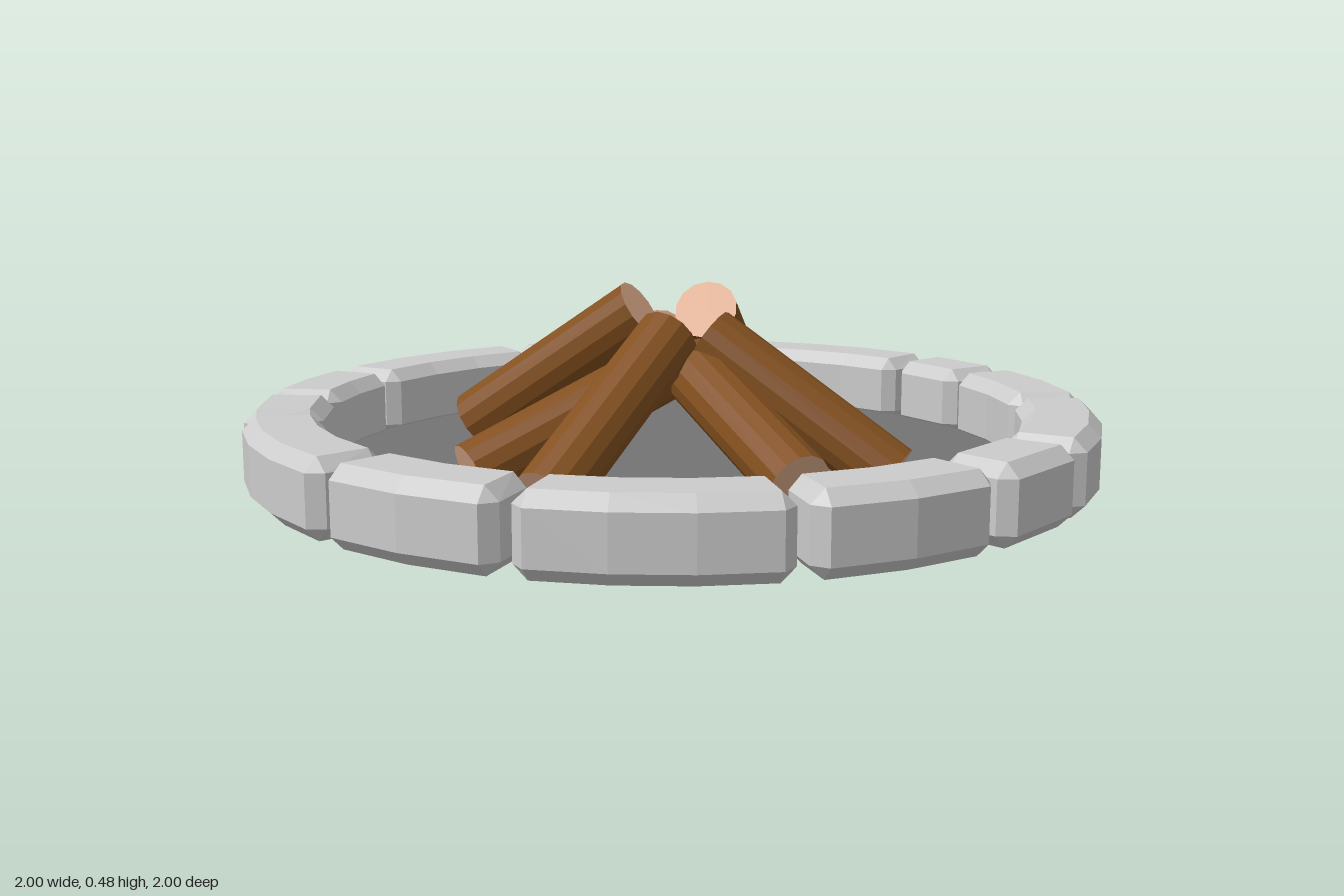
import * as THREE from 'three';

const stoneMat = new THREE.MeshStandardMaterial({ color: 0xcccccc, flatShading: true });
const groundMat = new THREE.MeshStandardMaterial({ color: 0x747474, side: THREE.DoubleSide });
const barkMat = new THREE.MeshStandardMaterial({ color: 0x83501f, flatShading: true });
const cutMat = new THREE.MeshStandardMaterial({ color: 0xe0ad8c });

const INNER = 0.82, OUTER = 1, BOTTOM = 0.045, TOP = 0.22, BEVEL = 0.03;

// Chamfered section as [radius, height]; the end section shrinks to a rectangle
const r0 = INNER + BEVEL, r1 = OUTER - BEVEL, y0 = BOTTOM + BEVEL, y1 = TOP - BEVEL;
const section = [
  [OUTER, y0], [OUTER, y1], [r1, TOP], [r0, TOP],
  [INNER, y1], [INNER, y0], [r0, BOTTOM], [r1, BOTTOM],
];
const endSection = [
  [r1, y0], [r1, y1], [r1, y1], [r0, y1],
  [r0, y1], [r0, y0], [r0, y0], [r1, y0],
];

// Curved stone block between two angles (degrees, from +x towards +z)
function stoneGeometry(from, to) {
  const gap = 0.7, chamfer = 1.8;
  const a = from + gap + chamfer, b = to - gap - chamfer;
  const steps = Math.max(1, Math.round((b - a) / 9));
  const rings = [[from + gap, endSection]];
  for (let i = 0; i <= steps; i++) rings.push([a + (b - a) * i / steps, section]);
  rings.push([to - gap, endSection]);

  const positions = [], index = [];
  for (const [deg, loop] of rings) {
    const t = THREE.MathUtils.degToRad(deg);
    for (const [r, y] of loop) positions.push(r * Math.cos(t), y, r * Math.sin(t));
  }
  const n = section.length;
  for (let i = 0; i < rings.length - 1; i++) {
    for (let j = 0; j < n; j++) {
      const p = i * n + j, q = i * n + (j + 1) % n;
      index.push(p, q, q + n, p, q + n, p + n);
    }
  }
  // Flat end faces
  const last = (rings.length - 1) * n;
  index.push(0, 3, 1, 0, 5, 3, last, last + 1, last + 3, last, last + 3, last + 5);

  const geometry = new THREE.BufferGeometry();
  geometry.setAttribute('position', new THREE.Float32BufferAttribute(positions, 3));
  geometry.setIndex(index);
  const flat = geometry.toNonIndexed();
  flat.computeVertexNormals();
  return flat;
}

// Round log from its foot to its upper end
function makeLog(foot, top) {
  const a = new THREE.Vector3(...foot), b = new THREE.Vector3(...top);
  const axis = b.clone().sub(a);
  const log = new THREE.Mesh(
    new THREE.CylinderGeometry(0.075, 0.075, axis.length(), 14),
    [barkMat, cutMat, cutMat],
  );
  log.position.copy(a).add(b).multiplyScalar(0.5);
  log.quaternion.setFromUnitVectors(new THREE.Vector3(0, 1, 0), axis.normalize());
  log.name = 'log';
  return log;
}

export function createModel() {
  const model = new THREE.Group();
  model.name = 'campfire';

  // Ring of stones of uneven length
  const ring = new THREE.Group();
  ring.name = 'stoneRing';
  const joints = [-86.3, -53, -37, -12, 21.7, 39.8, 65.6, 98.4, 124.5, 157.8, 174.5, 196.3, 231.5, 250];
  joints.forEach((from, i) => {
    const to = i + 1 < joints.length ? joints[i + 1] : joints[0] + 360;
    const stone = new THREE.Mesh(stoneGeometry(from, to), stoneMat);
    stone.name = 'stone';
    ring.add(stone);
  });
  model.add(ring);

  // Ash bed inside the ring
  const bed = new THREE.Mesh(new THREE.CircleGeometry(0.83, 48), groundMat);
  bed.rotation.x = -Math.PI / 2;
  bed.position.y = 0.07;
  bed.name = 'ashBed';
  model.add(bed);

  // Logs leaning together in the middle
  const logs = new THREE.Group();
  logs.name = 'logs';
  const leaning = [
    [[-0.51, 0.135, -0.07], [-0.08, 0.43, -0.01]],
    [[0.53, 0.07, 0.095], [0.09, 0.37, 0.02]],
    [[0.115, 0.12, -0.49], [0.075, 0.43, -0.03]],
    [[-0.19, 0.08, 0.48], [0, 0.375, 0.06]],
    [[-0.39, 0.095, -0.45], [-0.03, 0.35, -0.08]],
    [[0.28, 0.12, -0.42], [0.02, 0.3, -0.02]],
    [[0.345, 0.11, 0.395], [0.04, 0.3, 0.02]],
    [[-0.4, 0.09, 0.335], [-0.02, 0.29, 0.04]],
  ];
  for (const [foot, top] of leaning) logs.add(makeLog(foot, top));
  model.add(logs);

  return model;
}
